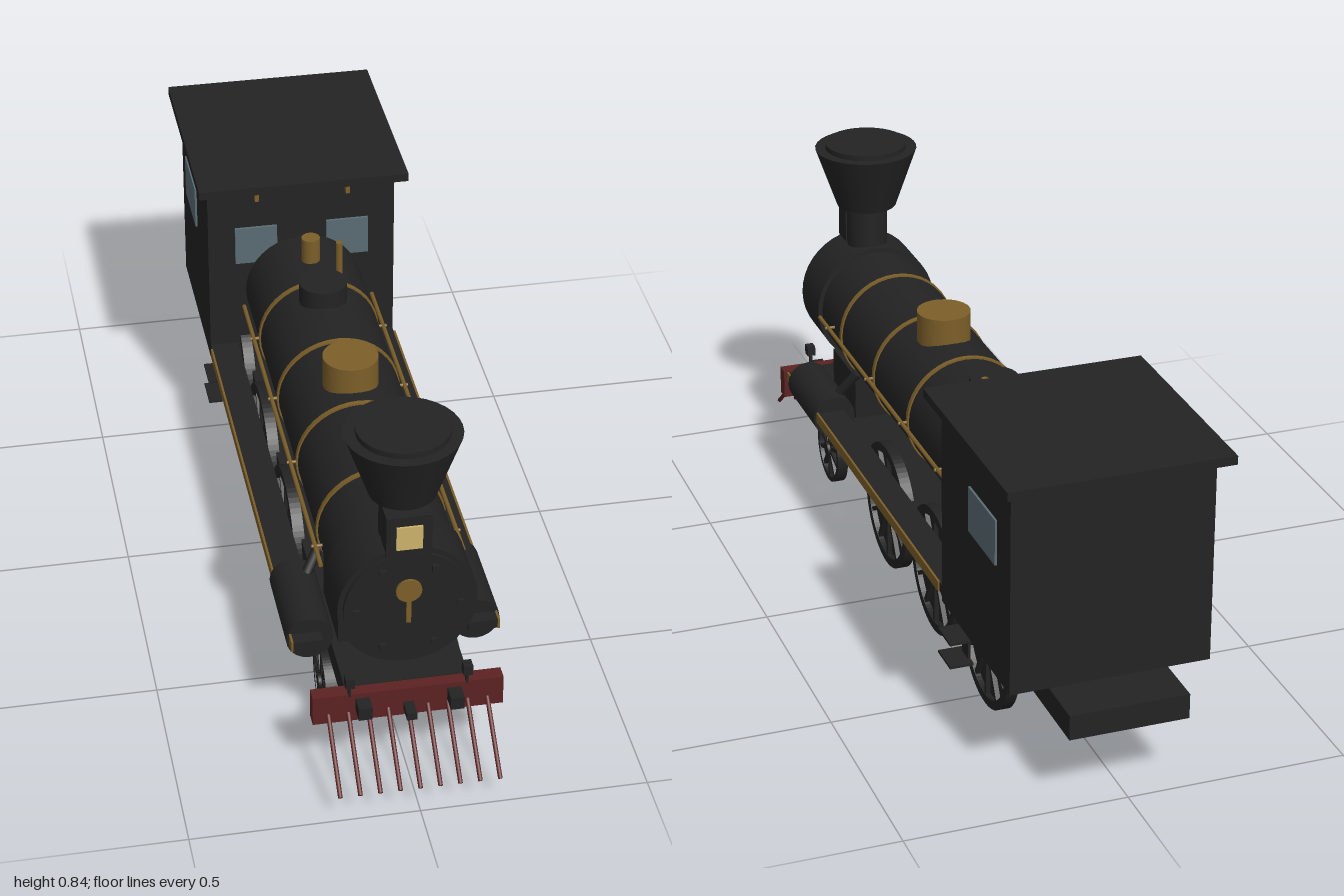
import * as THREE from 'three';

const mat = (name, color) => {
  const m = new THREE.MeshStandardMaterial({ color });
  m.name = name;
  return m;
};

export function createModel() {
  const black = mat('black iron', 0x232323);
  const gold = mat('brass', 0x7c5f29);
  const red = mat('dark red', 0x5c2222);
  const glass = mat('window glass', 0x5a6c74);
  const lens = mat('lamp glass', 0xcdb26a);
  const group = new THREE.Group();
  group.name = 'steamLocomotive';

  const add = (name, geo, m, x, y, z, parent = group) => {
    const mesh = new THREE.Mesh(geo, m);
    mesh.name = name;
    mesh.position.set(x, y, z);
    parent.add(mesh);
    return mesh;
  };
  // Box given by its lower and upper limits on each axis
  const box = (name, m, x0, x1, y0, y1, z0, z1, parent) =>
    add(name, new THREE.BoxGeometry(x1 - x0, y1 - y0, z1 - z0), m,
      (x0 + x1) / 2, (y0 + y1) / 2, (z0 + z1) / 2, parent);
  // Upright cylinder or cone between two heights
  const post = (name, m, x, z, y0, y1, r0, r1 = r0, seg = 32) =>
    add(name, new THREE.CylinderGeometry(r1, r0, y1 - y0, seg), m, x, (y0 + y1) / 2, z);
  // Cylinder lying along z
  const drum = (name, m, x, y, z0, z1, r, seg = 40) =>
    add(name, new THREE.CylinderGeometry(r, r, z1 - z0, seg).rotateX(Math.PI / 2), m, x, y, (z0 + z1) / 2);
  // Round bar between two points
  const bar = (name, m, a, b, r, seg = 8) => {
    const p = new THREE.Vector3(...a), q = new THREE.Vector3(...b);
    const d = q.clone().sub(p);
    const mesh = add(name, new THREE.CylinderGeometry(r, r, d.length(), seg), m, 0, 0, 0);
    mesh.position.copy(p).add(q).multiplyScalar(0.5);
    mesh.quaternion.setFromUnitVectors(new THREE.Vector3(0, 1, 0), d.normalize());
    return mesh;
  };

  // Frame, with the rear platform
  box('frame', black, -0.135, 0.135, 0.17, 0.228, -1, 0.83);

  // Boiler and smokebox
  const axis = 0.435;
  drum('boiler', black, 0, axis, -0.44, 0.7, 0.14);
  drum('boilerBack', black, 0, axis, -0.46, -0.44, 0.12);
  drum('smokebox', black, 0, axis, 0.7, 0.835, 0.151);
  drum('smokeboxDoor', black, 0, axis, 0.835, 0.843, 0.139);
  for (const z of [0.54, 0.285, 0.03, -0.225]) drum('boilerBand', gold, 0, axis, z - 0.006, z + 0.006, 0.144);
  box('saddle', black, -0.12, 0.12, 0.22, 0.34, 0.5, 0.68);

  // Door clamps and handle
  for (let i = 0; i < 6; i++) {
    const a = (i * Math.PI) / 3, x = 0.112 * Math.cos(a), y = axis + 0.112 * Math.sin(a);
    box('doorClamp', black, x - 0.007, x + 0.007, y - 0.007, y + 0.007, 0.84, 0.85);
  }
  drum('doorDisc', gold, 0, 0.48, 0.841, 0.849, 0.028, 24);
  box('doorHandle', gold, -0.005, 0.005, 0.397, 0.46, 0.841, 0.849);

  // Chimney
  const cz = 0.765;
  post('chimneyBase', black, 0, cz, 0.56, 0.68, 0.05);
  post('chimneyCollar', black, 0, cz, 0.675, 0.69, 0.06);
  post('chimneyFlare', black, 0, cz, 0.683, 0.832, 0.073, 0.125);
  post('chimneyCap', black, 0, cz, 0.832, 0.845, 0.1);

  // Headlamp
  box('headlamp', black, -0.049, 0.049, 0.562, 0.668, 0.785, 0.842);
  box('headlampLens', lens, -0.028, 0.028, 0.588, 0.645, 0.84, 0.847);

  // Domes, valve and whistle
  post('steamDome', gold, 0, 0.18, 0.56, 0.635, 0.063);
  post('sandDome', black, 0, -0.165, 0.56, 0.615, 0.056);
  post('safetyValve', gold, 0, -0.33, 0.56, 0.635, 0.022, 0.022, 16);
  post('whistle', gold, 0.055, -0.257, 0.55, 0.66, 0.008, 0.008, 12);

  // Cab
  box('cab', black, -0.227, 0.227, 0.235, 0.708, -0.89, -0.46);
  box('cabRoof', black, -0.252, 0.252, 0.715, 0.735, -0.937, -0.412);
  box('roofSupport', black, -0.2, 0.2, 0.7, 0.72, -0.87, -0.48);

  // Spoked wheel; s is the side it faces
  const wheel = (name, s, z, r, spokes) => {
    const w = new THREE.Group();
    w.name = name;
    w.position.set(s * 0.14, r + 0.003, z);
    group.add(w);
    const disc = (part, radius, x, width, seg = 36) =>
      add(part, new THREE.CylinderGeometry(radius, radius, width, seg).rotateZ(Math.PI / 2), black, s * x, 0, 0, w);
    disc('wheelDisc', r * 0.95, -0.004, 0.008);
    disc('wheelHub', r * 0.2, 0, 0.036, 16);
    const rim = new THREE.Shape().absarc(0, 0, r, 0, Math.PI * 2);
    rim.holes.push(new THREE.Path().absarc(0, 0, r * 0.86, 0, Math.PI * 2, true));
    const tyre = new THREE.ExtrudeGeometry(rim, { depth: 0.026, bevelEnabled: false, curveSegments: 36 });
    add('wheelTyre', tyre.translate(0, 0, -0.013).rotateY(Math.PI / 2), black, 0, 0, 0, w);
    for (let i = 0; i < spokes; i++) {
      const spoke = new THREE.BoxGeometry(0.014, r * 0.8, 0.01).translate(0, r * 0.48, 0);
      add('wheelSpoke', spoke.rotateX((i * 2 * Math.PI) / spokes), black, s * 0.004, 0, 0, w);
    }
  };

  const drivers = [0.165, -0.18, -0.53];
  for (const z of drivers) bar('driverAxle', black, [-0.14, 0.156, z], [0.14, 0.156, z], 0.018, 12);
  bar('leadingAxle', black, [-0.155, 0.088, 0.635], [0.155, 0.088, 0.635], 0.014, 12);

  for (const s of [-1, 1]) {
    const side = (name, m, x0, x1, ...yz) =>
      box(name, m, Math.min(s * x0, s * x1), Math.max(s * x0, s * x1), ...yz);

    // Wheels and coupling rod
    for (const z of drivers) {
      wheel('drivingWheel', s, z, 0.153, 12);
      bar('crankPin', black, [s * 0.14, 0.176, z], [s * 0.172, 0.176, z], 0.013, 12);
    }
    wheel('leadingWheel', s, 0.635, 0.085, 10);
    side('couplingRod', black, 0.158, 0.168, 0.167, 0.185, -0.55, 0.185);

    // Cylinder with its steam pipe
    drum('cylinder', black, s * 0.184, 0.256, 0.47, 0.69, 0.052, 20);
    bar('steamPipe', black, [s * 0.12, 0.36, 0.48], [s * 0.17, 0.28, 0.52], 0.012);

    // Running board with brass edge
    side('runningBoard', black, 0.16, 0.226, 0.25, 0.272, -0.46, 0.72);
    side('runningBoardEdge', gold, 0.225, 0.23, 0.249, 0.274, -0.44, 0.721);

    // Handrail
    bar('handrail', gold, [s * 0.156, axis, -0.37], [s * 0.156, axis, 0.67], 0.005);
    for (const z of [0.6, 0.285, 0.03, -0.225])
      bar('handrailPost', gold, [s * 0.135, axis, z], [s * 0.164, axis, z], 0.004);

    // Cab windows, lamps and steps
    side('cabFrontWindow', glass, 0.06, 0.162, 0.503, 0.6, -0.461, -0.453);
    side('cabSideWindow', glass, 0.226, 0.232, 0.502, 0.607, -0.81, -0.645);
    side('cabLamp', gold, 0.105, 0.115, 0.68, 0.715, -0.455, -0.44);
    for (const y of [0.165, 0.107]) side('cabStep', black, 0.18, 0.235, y - 0.003, y + 0.003, -0.535, -0.455);
    side('stepHanger', black, 0.18, 0.186, 0.105, 0.24, -0.515, -0.475);

    // Buffers and lamp brackets on the front beam
    side('buffer', black, 0.085, 0.115, 0.183, 0.214, 0.85, 0.895);
    side('lampBracket', black, 0.118, 0.138, 0.25, 0.275, 0.845, 0.868);
    side('bracketStem', black, 0.125, 0.131, 0.22, 0.255, 0.85, 0.858);
  }

  // Front beam, coupling and cowcatcher
  box('bufferBeam', red, -0.208, 0.208, 0.155, 0.226, 0.825, 0.858);
  box('coupling', black, -0.011, 0.011, 0.172, 0.19, 0.85, 0.9);
  for (let i = -4; i <= 4; i++)
    bar('cowcatcherBar', red, [i * 0.0434, 0.18, 0.85], [i * 0.0434, 0.064, 0.997], 0.005);

  return group;
}
